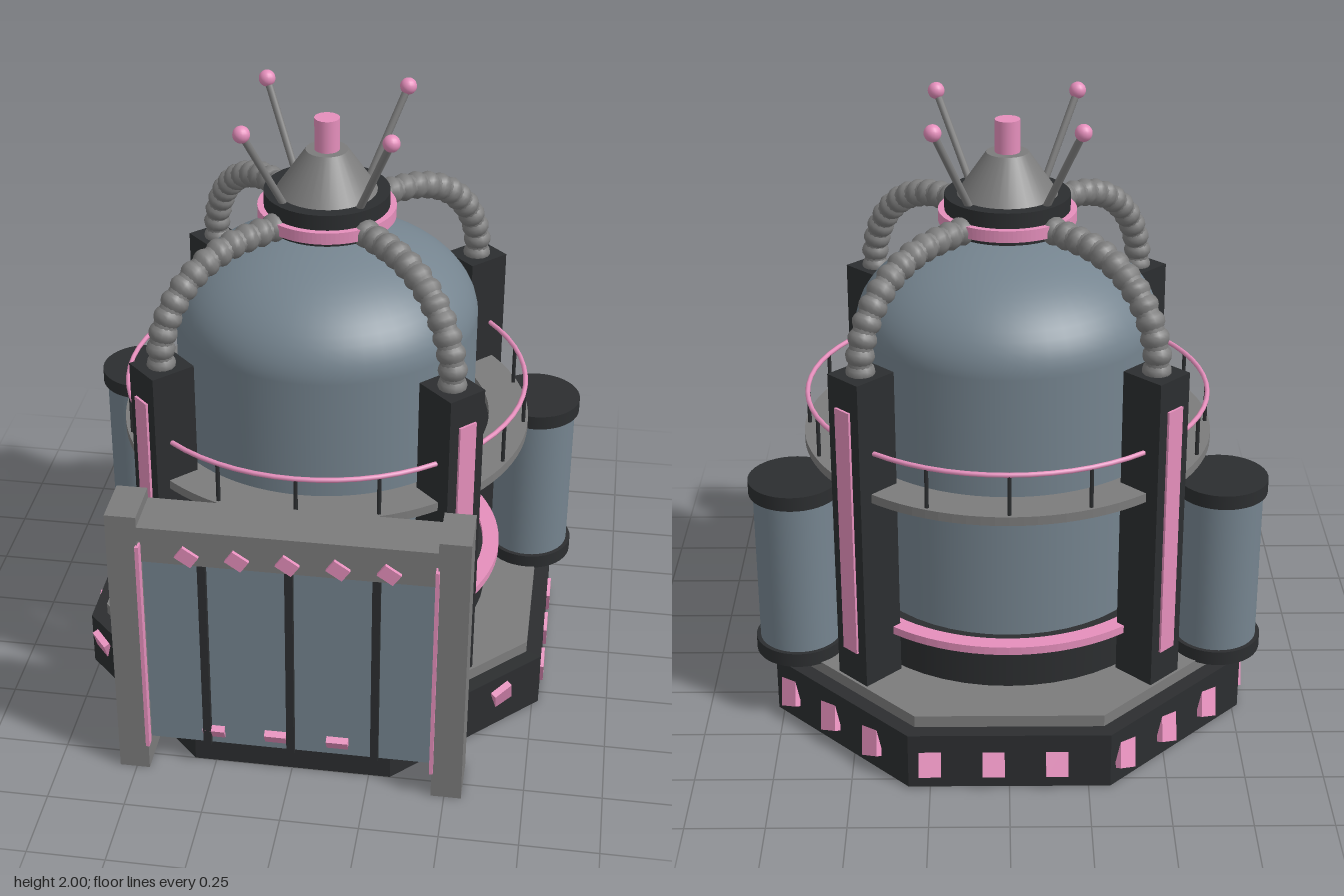
import * as THREE from 'three';

const mat = (color, extra = {}) => new THREE.MeshStandardMaterial({ color, ...extra });
const GREY = mat(0x7c7c7c), DARK = mat(0x2c2e30), BLUE = mat(0x75848f), PINK = mat(0xe58fbc);
const GREY_FLAT = mat(0x7c7c7c, { flatShading: true }), DARK_FLAT = mat(0x2c2e30, { flatShading: true });

function add(parent, name, geometry, material, x = 0, y = 0, z = 0) {
  const mesh = new THREE.Mesh(geometry, material);
  mesh.name = name;
  mesh.position.set(x, y, z);
  parent.add(mesh);
  return mesh;
}

// Box given by its width, depth and the heights of its bottom and top
const block = (parent, name, material, w, d, y0, y1, x, z) =>
  add(parent, name, new THREE.BoxGeometry(w, y1 - y0, d), material, x, (y0 + y1) / 2, z);

// Upright cylinder or cone between two heights
const drum = (parent, name, material, rBottom, rTop, y0, y1, x = 0, z = 0, sides = 40) =>
  add(parent, name, new THREE.CylinderGeometry(rTop, rBottom, y1 - y0, sides), material, x, (y0 + y1) / 2, z);

// Flat-edged ring
function band(parent, name, material, rIn, rOut, y0, y1) {
  const shape = new THREE.Shape().absarc(0, 0, rOut, 0, Math.PI * 2);
  shape.holes.push(new THREE.Path().absarc(0, 0, rIn, 0, Math.PI * 2, true));
  const geo = new THREE.ExtrudeGeometry(shape, { depth: y1 - y0, bevelEnabled: false, curveSegments: 48 });
  return add(parent, name, geo.rotateX(-Math.PI / 2), material, 0, y0, 0);
}

// Straight round rod between two points
function rod(parent, name, material, a, b, r) {
  const dir = b.clone().sub(a);
  const m = add(parent, name, new THREE.CylinderGeometry(r, r, dir.length(), 10), material);
  m.position.copy(a).lerp(b, 0.5);
  m.quaternion.setFromUnitVectors(new THREE.Vector3(0, 1, 0), dir.normalize());
  return m;
}

function octagon(parent, name, material, apothem, y0, y1) {
  const r = apothem / Math.cos(Math.PI / 8);
  drum(parent, name, material, r, r, y0, y1, 0, 0, 8).rotation.y = Math.PI / 8;
}

function buildBase(body) {
  octagon(body, 'base', DARK_FLAT, 0.77, 0, 0.19);
  octagon(body, 'baseStep', GREY_FLAT, 0.72, 0.19, 0.23);
  // Slanted warning plates, three on each face, all tipped about x
  const plate = new THREE.BoxGeometry(0.07, 0.115, 0.022);
  for (let i = 0; i < 8; i++) {
    const a = i * Math.PI / 4;
    for (const u of [-0.25, -0.05, 0.15]) {
      const m = add(body, 'warningPlate', plate, PINK,
        0.77 * Math.sin(a) + u * Math.cos(a), 0.105, 0.77 * Math.cos(a) - u * Math.sin(a));
      m.rotation.set(0.5, a, 0);
    }
  }
}

function buildTank(body) {
  drum(body, 'tankFoot', DARK, 0.55, 0.55, 0.23, 0.385, 0, 0, 48);
  band(body, 'tankFootBand', PINK, 0.54, 0.595, 0.375, 0.402);
  // Straight wall with an elliptical dome
  const profile = [new THREE.Vector2(0.49, 0.38), new THREE.Vector2(0.49, 0.85)];
  for (let i = 0; i <= 16; i++) {
    const t = i / 16 * Math.PI / 2;
    profile.push(new THREE.Vector2(Math.max(0, 0.49 * Math.cos(t)), 1.28 + 0.285 * Math.sin(t)));
  }
  add(body, 'tank', new THREE.LatheGeometry(profile, 48), BLUE);
}

function buildWalkway(body) {
  band(body, 'walkway', GREY, 0.54, 0.67, 0.88, 0.91);
  const rail = new THREE.TorusGeometry(0.655, 0.008, 8, 64).rotateX(Math.PI / 2);
  add(body, 'handrail', rail, PINK, 0, 1.045, 0);
  for (let i = 0; i < 16; i++) {
    const a = i * Math.PI / 8;
    drum(body, 'railPost', DARK, 0.007, 0.007, 0.91, 1.045, 0.655 * Math.sin(a), 0.655 * Math.cos(a), 6);
  }
}

// Pylon with its ribbed pipe and antenna; local +z points outward
function buildPylon(body, angle) {
  const g = new THREE.Group();
  g.name = 'pylon';
  g.rotation.y = angle;
  body.add(g);
  block(g, 'pylonColumn', DARK, 0.134, 0.15, 0.19, 1.29, 0, 0.636);
  block(g, 'pylonLight', PINK, 0.064, 0.02, 0.34, 1.19, 0, 0.709);

  const curve = new THREE.CatmullRomCurve3([[0.636, 1.27], [0.632, 1.37], [0.585, 1.48], [0.5, 1.565],
    [0.38, 1.617], [0.18, 1.635]].map(([z, y]) => new THREE.Vector3(0, y, z)));
  add(g, 'pipeCore', new THREE.TubeGeometry(curve, 32, 0.037, 12), GREY);
  const n = 13, len = curve.getLength() / n;
  const bead = new THREE.LatheGeometry([[0.034, -0.5], [0.043, -0.25], [0.046, 0], [0.043, 0.25], [0.034, 0.5]]
    .map(([r, y]) => new THREE.Vector2(r, y * len)), 14);
  for (let i = 0; i < n; i++) {
    const t = (i + 0.5) / n, m = add(g, 'pipeRib', bead, GREY);
    m.position.copy(curve.getPointAt(t));
    m.quaternion.setFromUnitVectors(new THREE.Vector3(0, 1, 0), curve.getTangentAt(t));
  }

  const tip = new THREE.Vector3(0, 1.975, 0.32);
  rod(g, 'antennaRod', GREY, new THREE.Vector3(0, 1.68, 0.155), tip, 0.012);
  add(g, 'antennaBall', new THREE.SphereGeometry(0.027, 16, 12), PINK, 0, tip.y, tip.z);
}

function buildCap(body) {
  drum(body, 'capCollar', DARK, 0.2, 0.2, 1.605, 1.71);
  band(body, 'capBand', PINK, 0.19, 0.22, 1.622, 1.66);
  drum(body, 'capCone', GREY, 0.16, 0.067, 1.71, 1.845, 0, 0, 32);
  drum(body, 'capBeacon', PINK, 0.04, 0.04, 1.84, 1.95, 0, 0, 20);
}

function buildSideTank(parent, side) {
  const g = new THREE.Group();
  g.name = 'sideTank';
  g.position.set(side * 0.688, 0, -0.298);
  parent.add(g);
  drum(g, 'sideTankBody', BLUE, 0.133, 0.133, 0.25, 0.82);
  for (const y of [0.225, 0.8]) drum(g, 'sideTankCap', DARK, 0.147, 0.147, y, y + 0.048);
}

function buildGate(parent) {
  const g = new THREE.Group();
  g.name = 'gate';
  parent.add(g);
  for (const s of [-1, 1]) {
    block(g, 'gatePost', GREY, 0.097, 0.165, 0, 0.98, s * 0.506, 0.735);
    block(g, 'gateTrim', PINK, 0.012, 0.03, 0.1, 0.88, s * 0.457, 0.816);
  }
  block(g, 'gateCrossbar', GREY, 0.92, 0.165, 0.895, 0.945, 0, 0.735);
  block(g, 'gateSlot', DARK, 0.91, 0.08, 0.875, 0.897, 0, 0.74);
  block(g, 'gateHeader', GREY, 0.91, 0.11, 0.805, 0.88, 0, 0.74);
  block(g, 'gateDoor', BLUE, 0.92, 0.06, 0.09, 0.81, 0, 0.736);
  for (const x of [-0.27, 0, 0.27]) block(g, 'gateDoorBar', DARK, 0.025, 0.05, 0.09, 0.81, x, 0.762);
  for (let i = -2; i <= 2; i++)
    block(g, 'gateWarningPlate', PINK, 0.06, 0.02, 0.817, 0.863, i * 0.155, 0.797).rotation.z = -0.6;
}

export function createModel() {
  const model = new THREE.Group();
  model.name = 'reactorTower';
  // Everything round shares an axis slightly behind the centre
  const body = new THREE.Group();
  body.name = 'towerBody';
  body.position.z = -0.02;
  model.add(body);
  buildBase(body);
  buildTank(body);
  buildWalkway(body);
  buildCap(body);
  for (let i = 0; i < 4; i++) buildPylon(body, Math.PI / 4 + i * Math.PI / 2);
  for (const side of [-1, 1]) buildSideTank(model, side);
  buildGate(model);
  return model;
}
